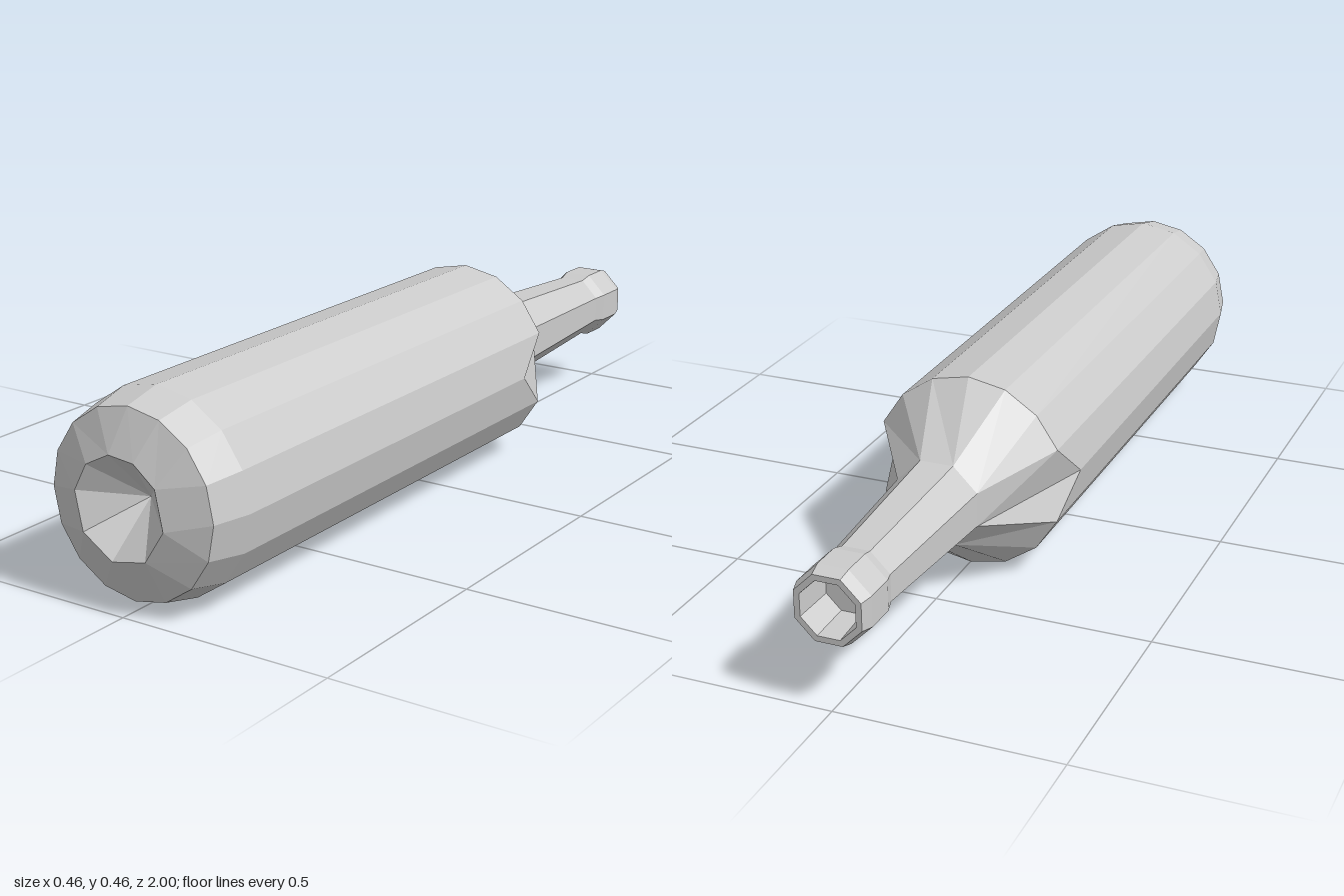
import * as THREE from 'three';

const SIDES = 16;
const CENTER_Y = 0.229;

// Evenly spaced angles in degrees
const even = (n, start = 0) => Array.from({ length: n }, (_, i) => start + (i * 360) / n);

// Ring of 16 points; with fewer corners, neighbouring points share the nearest corner
function ring(radius, z, angles, zShift = () => 0) {
  const gap = (a, b) => Math.abs(((a - b + 540) % 360) - 180);
  return even(SIDES).map((want, k) => {
    const best = angles.reduce((p, a) => (gap(a, want + 0.1) < gap(p, want + 0.1) ? a : p));
    const t = THREE.MathUtils.degToRad(best);
    return new THREE.Vector3(radius * Math.cos(t), CENTER_Y + radius * Math.sin(t), z + zShift(k));
  });
}

// Skin consecutive rings, dropping collapsed triangles
function loft(rings) {
  const pos = [];
  const tri = (a, b, c) => {
    const area = new THREE.Triangle(a, b, c).getArea();
    if (area > 1e-7) pos.push(...a, ...b, ...c);
  };
  for (let i = 0; i < rings.length - 1; i++) {
    for (let k = 0; k < SIDES; k++) {
      const n = (k + 1) % SIDES;
      const a = rings[i][k], b = rings[i][n], c = rings[i + 1][n], d = rings[i + 1][k];
      tri(a, d, c);
      tri(a, c, b);
    }
  }
  const geometry = new THREE.BufferGeometry();
  geometry.setAttribute('position', new THREE.Float32BufferAttribute(pos, 3));
  geometry.computeVertexNormals();
  return geometry;
}

export function createModel() {
  const group = new THREE.Group();
  group.name = 'bottle';
  const material = new THREE.MeshStandardMaterial({ color: 0xcccccc, flatShading: true });
  const add = (name, rings) => {
    const mesh = new THREE.Mesh(loft(rings), material);
    mesh.name = name;
    group.add(mesh);
  };

  const round = even(16);
  const octagon = even(8, 22.5);
  const puntAngles = [34, 68, 100, 134, 169, 214, 259, 304, 349];

  const puntRim = ring(0.115, 1, puntAngles);
  // The shoulder edge dips forward at the two side corners
  const shoulderEdge = ring(0.228, -0.31, round, (k) => (k % 8 === 0 ? 0.1 : 0));
  const neckBase = ring(0.102, -0.485, octagon);
  const neckTop = ring(0.08, -0.87, octagon);

  // Hollow cone in the base
  add('punt', [ring(0, 0.9, puntAngles), puntRim]);

  // Rounded base and straight sides
  add('body', [puntRim, ring(0.207, 0.96, round), ring(0.228, 0.87, round), shoulderEdge]);

  add('shoulder', [shoulderEdge, neckBase]);
  add('neck', [neckBase, neckTop]);

  // Thickened lip with the open mouth
  add('lip', [
    neckTop,
    ring(0.089, -0.9, octagon),
    ring(0.089, -0.97, octagon),
    ring(0.08, -1, octagon),
    ring(0.066, -1, octagon),
    ring(0.06, -0.9, octagon),
    ring(0, -0.9, octagon),
  ]);

  return group;
}
